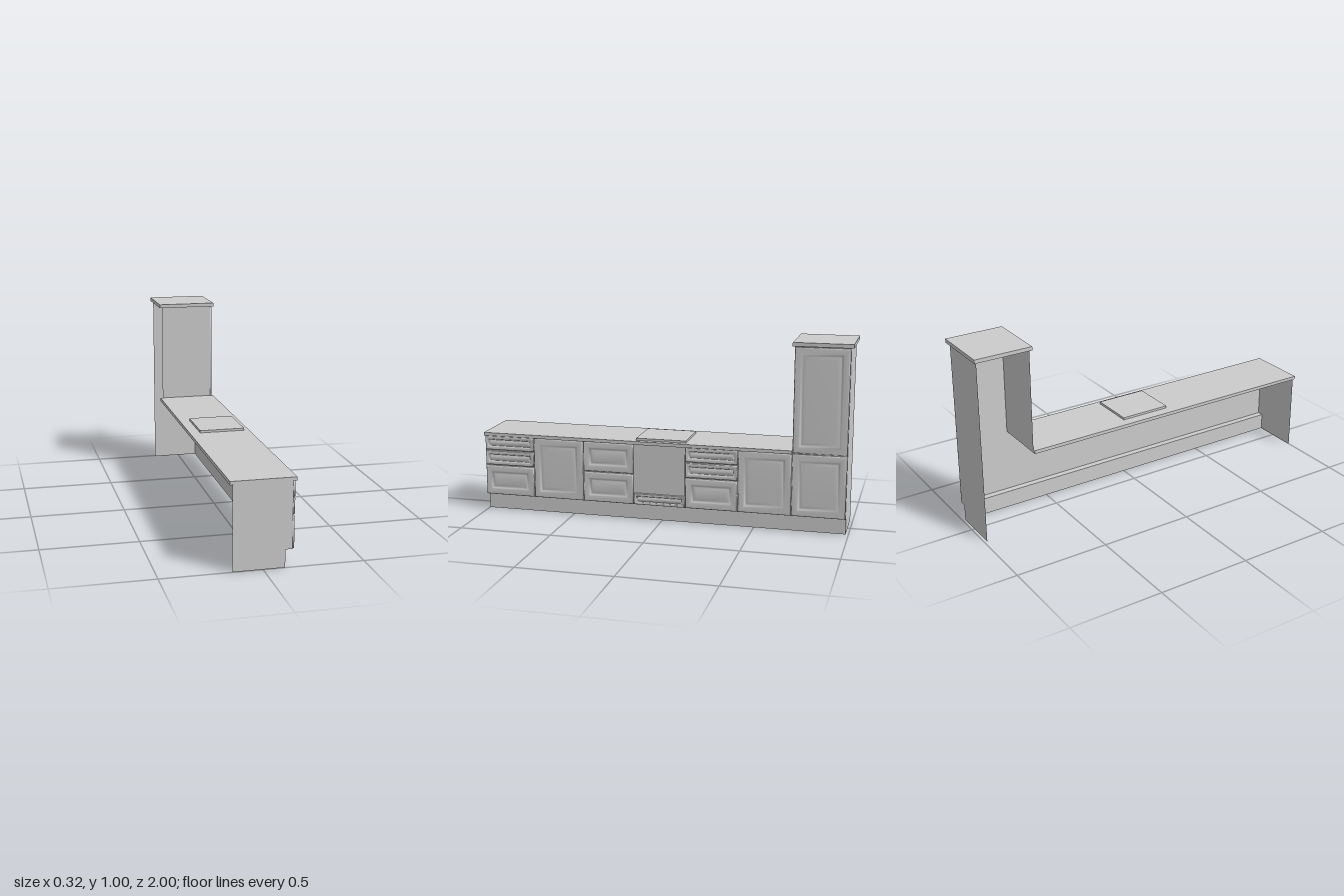
import * as THREE from 'three';

const BACK = -0.148, FACE = 0.142, KICK = 0.108;   // depth positions along x
const BASE = 0.09, COUNTER = 0.425, TOP = 0.985;   // heights
const Z0 = 0.998, UNIT = 0.2833;                   // first cabinet edge and cabinet width
const END = Z0 - 7 * UNIT, TOWER = Z0 - 6 * UNIT;

const solid = new THREE.MeshStandardMaterial({ color: 0xcccccc });
const sheet = new THREE.MeshStandardMaterial({ color: 0xcccccc, side: THREE.DoubleSide });

function add(group, name, geometry, material = solid) {
  const mesh = new THREE.Mesh(geometry, material);
  mesh.name = name;
  group.add(mesh);
  return mesh;
}

// Box given by its limits on each axis
function box(group, name, x0, x1, y0, y1, z0, z1) {
  add(group, name, new THREE.BoxGeometry(x1 - x0, y1 - y0, z1 - z0))
    .position.set((x0 + x1) / 2, (y0 + y1) / 2, (z0 + z1) / 2);
}

// Thin upright board in the x-y plane
function sideBoard(group, name, points, z) {
  const shape = new THREE.Shape(points.map(p => new THREE.Vector2(...p)));
  add(group, name, new THREE.ShapeGeometry(shape), sheet).position.z = z;
}

// Thin upright board facing +x
function frontBoard(group, name, x, y0, y1, z0, z1) {
  const mesh = add(group, name, new THREE.PlaneGeometry(z1 - z0, y1 - y0), sheet);
  mesh.rotation.y = Math.PI / 2;
  mesh.position.set(x, (y0 + y1) / 2, (z0 + z1) / 2);
}

// Moulded front: nested rectangles, each [inset, height above the cabinet face]
const MOULDING = [[0, 0], [0, 0.006], [0.003, 0.010], [0.008, 0.0115], [0.030, 0.0115],
  [0.036, 0.009], [0.040, 0.005], [0.046, 0.005], [0.062, 0.009]];

function panelGeometry(y0, y1, z0, z1) {
  const scale = Math.min(1, (y1 - y0) * 0.42 / 0.062);
  const positions = [], index = [];
  MOULDING.forEach(([inset, height], k) => {
    const d = inset * scale, x = FACE + height;
    positions.push(x, y0 + d, z1 - d, x, y0 + d, z0 + d, x, y1 - d, z0 + d, x, y1 - d, z1 - d);
    if (k === 0) return;
    for (let i = 0; i < 4; i++) {
      const j = (i + 1) % 4, a = 4 * (k - 1), b = 4 * k;
      index.push(a + i, a + j, b + j, a + i, b + j, b + i);
    }
  });
  const c = 4 * (MOULDING.length - 1);
  index.push(c, c + 1, c + 2, c, c + 2, c + 3);
  const geometry = new THREE.BufferGeometry();
  geometry.setAttribute('position', new THREE.Float32BufferAttribute(positions, 3));
  geometry.setIndex(index);
  geometry.computeVertexNormals();
  return geometry;
}

export function createModel() {
  const kitchen = new THREE.Group();
  kitchen.name = 'kitchenCabinets';

  // Open-backed carcass: end boards, front skin, toe kick and its ledge
  const carcass = new THREE.Group();
  carcass.name = 'carcass';
  kitchen.add(carcass);
  const profile = top => [[BACK, 0], [KICK, 0], [KICK, BASE], [FACE, BASE], [FACE, top], [BACK, top]];
  sideBoard(carcass, 'counterEndBoard', profile(COUNTER), Z0);
  sideBoard(carcass, 'towerEndBoard', profile(TOP), END);
  sideBoard(carcass, 'towerInnerBoard',
    [[BACK, COUNTER], [FACE, COUNTER], [FACE, TOP], [BACK, TOP]], TOWER);
  frontBoard(carcass, 'baseFront', FACE, BASE, COUNTER, END, Z0);
  frontBoard(carcass, 'towerFront', FACE, COUNTER, TOP, END, TOWER);
  frontBoard(carcass, 'toeKick', KICK, 0, BASE, END, Z0);
  const ledge = add(carcass, 'toeKickLedge', new THREE.PlaneGeometry(FACE - KICK, Z0 - END), sheet);
  ledge.rotation.x = -Math.PI / 2;
  ledge.position.set((FACE + KICK) / 2, BASE, (Z0 + END) / 2);

  // Worktop, tower cap and hob
  box(kitchen, 'worktop', -0.162, 0.16, COUNTER, 0.443, TOWER, 1);
  box(kitchen, 'towerCap', -0.162, 0.16, TOP, 1.005, -1, -0.692);
  box(kitchen, 'hob', -0.107, 0.133, 0.443, 0.455, -0.136, 0.137);

  // Fronts of each cabinet, as [bottom, top] heights
  const door = [[0.092, 0.424]];
  const drawers = [[0.092, 0.256], [0.261, 0.341], [0.346, 0.424]];
  const deepDrawers = [[0.092, 0.256], [0.261, 0.424]];
  const ovenDrawer = [[0.092, 0.154]];
  const towerDoors = [[0.092, 0.424], [0.430, 0.980]];
  const units = [drawers, door, deepDrawers, ovenDrawer, drawers, door, towerDoors];
  const fronts = new THREE.Group();
  fronts.name = 'fronts';
  kitchen.add(fronts);
  units.forEach((rows, i) => {
    const z1 = Z0 - i * UNIT - 0.002, z0 = z1 - UNIT + 0.004;
    rows.forEach(([y0, y1]) => {
      const name = rows === door || rows === towerDoors ? 'door' : 'drawerFront';
      add(fronts, name, panelGeometry(y0, y1, z0, z1));
    });
  });

  // Flat oven front above its drawer
  const ovenZ = Z0 - 3 * UNIT - 0.002;
  box(fronts, 'ovenFront', FACE, FACE + 0.006, 0.158, COUNTER, ovenZ - UNIT + 0.004, ovenZ);

  return kitchen;
}
